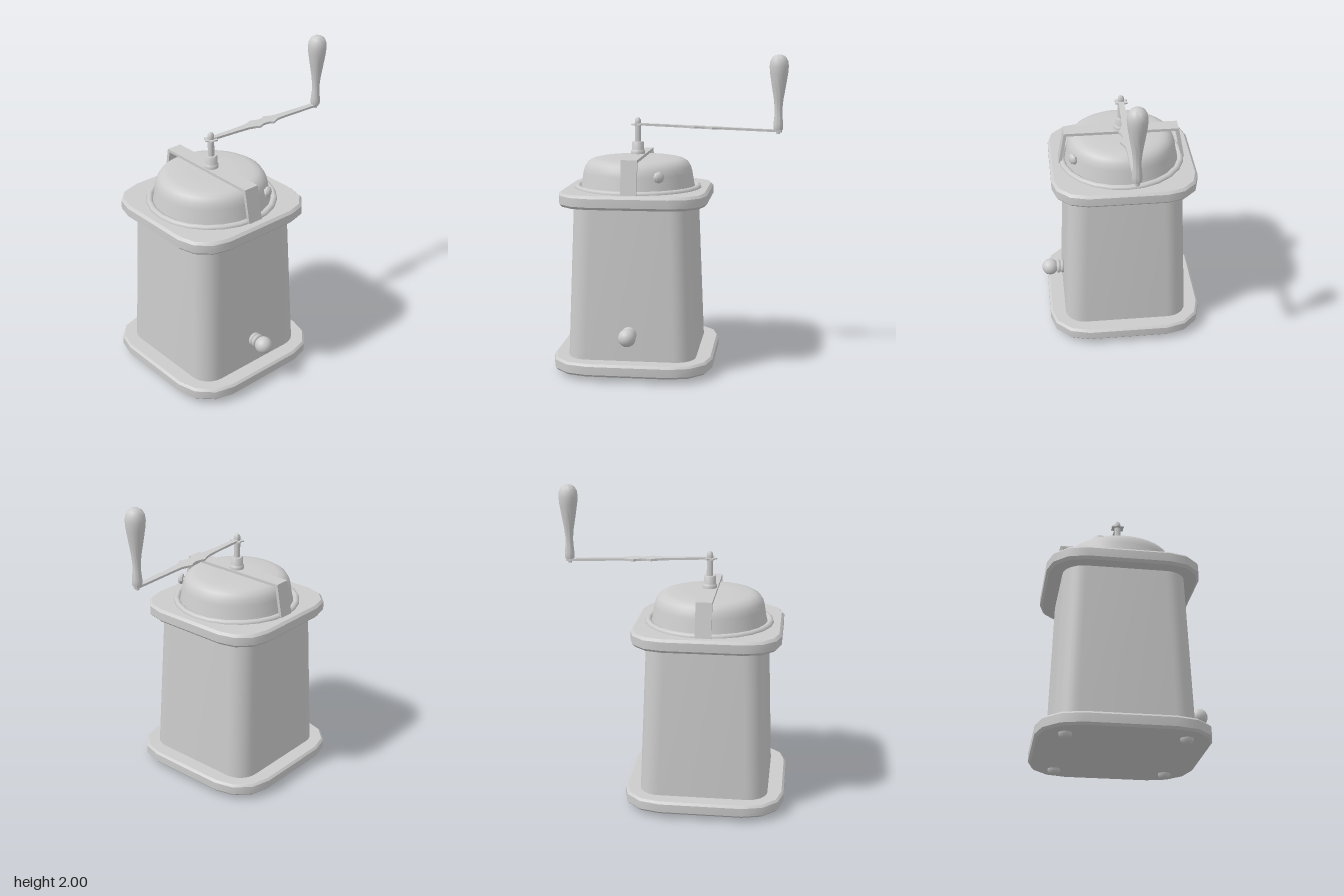
import * as THREE from 'three';
import { toCreasedNormals } from 'three/addons/utils/BufferGeometryUtils.js';

const mat = new THREE.MeshStandardMaterial({ color: 0xcccccc });

function add(parent, name, geo, x = 0, y = 0, z = 0) {
  const m = new THREE.Mesh(geo, mat);
  m.name = name;
  m.position.set(x, y, z);
  parent.add(m);
  return m;
}

function lathe(points, segments, crease = 0.7) {
  const g = new THREE.LatheGeometry(points.map(p => new THREE.Vector2(p[0], p[1])), segments);
  return toCreasedNormals(g, crease);
}

// Closed loft through rounded squares; each section is [y, half width, corner radius]
function squareLoft(sections, steps) {
  const pos = [], idx = [], n = 4 * (steps + 1);
  for (const [y, h, r] of sections)
    for (let q = 0; q < 4; q++)
      for (let i = 0; i <= steps; i++) {
        const a = (q + i / steps) * Math.PI / 2;
        const mid = (q + 0.5) * Math.PI / 2;
        pos.push(Math.sign(Math.cos(mid)) * (h - r) + r * Math.cos(a), y,
          Math.sign(Math.sin(mid)) * (h - r) + r * Math.sin(a));
      }
  const last = sections.length - 1, bottom = n * sections.length;
  pos.push(0, sections[0][0], 0, 0, sections[last][0], 0);
  for (let j = 0; j < n; j++) {
    const k = (j + 1) % n;
    for (let s = 0; s < last; s++) {
      const a = s * n + j, b = s * n + k;
      idx.push(a, a + n, b, b, a + n, b + n);
    }
    idx.push(bottom, j, k, bottom + 1, last * n + k, last * n + j);
  }
  const g = new THREE.BufferGeometry();
  g.setAttribute('position', new THREE.Float32BufferAttribute(pos, 3));
  g.setIndex(idx);
  return toCreasedNormals(g, 0.6);
}

const plate = (y0, y1, h, r, b) => squareLoft(
  [[y0, h - b, r - b], [y0 + b, h, r], [y1 - b, h, r], [y1, h - b, r - b]], 3);

export function createModel() {
  const model = new THREE.Group();
  model.name = 'handMill';
  const mill = new THREE.Group();
  mill.name = 'mill';
  mill.position.set(-0.225, 0, -0.02);
  model.add(mill);

  // Case
  add(mill, 'basePlate', plate(0.03, 0.11, 0.508, 0.25, 0.014));
  add(mill, 'body', squareLoft([[0.1, 0.406, 0.13], [1.08, 0.37, 0.13]], 8));
  add(mill, 'topPlate', plate(1.07, 1.155, 0.467, 0.22, 0.016));
  for (const x of [-1, 1])
    for (const z of [-1, 1])
      add(mill, 'foot', lathe([[0, 0], [0.025, 0.004], [0.037, 0.016], [0.04, 0.032]], 16),
        x * 0.343, 0, z * 0.343);

  // Lid
  add(mill, 'lidRing', new THREE.TorusGeometry(0.388, 0.022, 8, 24).rotateX(Math.PI / 2), 0, 1.154, 0);
  add(mill, 'lidDome', lathe([[0.37, 1.15], [0.362, 1.18], [0.35, 1.255], [0.34, 1.29],
    [0.322, 1.318], [0.295, 1.335], [0.26, 1.343], [0.15, 1.345], [0, 1.345]], 40));

  // Strap bridging the lid from front to back
  const strap = new THREE.Shape([[-0.41, 1.155], [-0.37, 1.368], [0.37, 1.368], [0.41, 1.155],
    [0.39, 1.155], [0.353, 1.35], [-0.353, 1.35], [-0.39, 1.155]].map(p => new THREE.Vector2(...p)));
  const strapGeo = new THREE.ExtrudeGeometry(strap, { depth: 0.1, bevelEnabled: false });
  add(mill, 'strap', strapGeo.translate(0, 0, -0.05).rotateY(-Math.PI / 2));

  // Small knob on the lid
  const lidKnob = add(mill, 'lidKnob', lathe([[0.015, -0.03], [0.015, 0.015], [0.033, 0.018],
    [0.037, 0.03], [0.03, 0.043], [0.016, 0.05], [0, 0.052]], 8), 0.163, 1.258, 0.297);
  lidKnob.rotation.set(Math.PI / 2, 0, 0);
  lidKnob.rotation.order = 'YXZ';
  lidKnob.rotation.y = Math.atan2(0.175, 0.32);

  // Drawer knob: ringed stem and ball
  const knob = new THREE.Group();
  knob.name = 'drawerKnob';
  knob.position.set(0, 0.285, 0.39);
  mill.add(knob);
  add(knob, 'knobStem', new THREE.CylinderGeometry(0.026, 0.026, 0.11, 16).rotateX(Math.PI / 2), 0, 0, 0.04);
  for (const z of [0.02, 0.045])
    add(knob, 'knobRing', new THREE.TorusGeometry(0.033, 0.014, 8, 20), 0, 0, z);
  add(knob, 'knobBall', new THREE.SphereGeometry(0.055, 24, 16), 0, 0, 0.103);

  // Collar, shaft and end pin
  add(mill, 'collar', lathe([[0.046, 1.36], [0.046, 1.385], [0.038, 1.395], [0.038, 1.44],
    [0.034, 1.446], [0, 1.446]], 20));
  add(mill, 'shaft', lathe([[0.02, 1.44], [0.02, 1.57], [0.019, 1.585], [0.011, 1.598], [0, 1.601]], 16));

  // Scalloped nut clamping the crank
  const petals = [];
  for (let i = 0; i < 48; i++) {
    const a = i / 48 * Math.PI * 2, r = 0.039 + 0.006 * Math.cos(6 * a);
    petals.push(new THREE.Vector2(r * Math.cos(a), r * Math.sin(a)));
  }
  const nut = new THREE.ExtrudeGeometry(new THREE.Shape(petals), { depth: 0.008, bevelEnabled: false });
  add(mill, 'scallopedNut', nut.rotateX(-Math.PI / 2), 0, 1.55, 0);

  // Crank arm: half widths along its length, mirrored
  const half = [[-0.02, 0.012], [0, 0.016], [0.2, 0.021], [0.29, 0.026], [0.33, 0.036], [0.365, 0.051],
    [0.4, 0.036], [0.43, 0.032], [0.46, 0.04], [0.48, 0.053], [0.51, 0.037], [0.54, 0.026],
    [0.6, 0.023], [0.88, 0.019], [0.91, 0.016], [0.918, 0.006]];
  const outline = [...half, ...half.map(([x, w]) => [x, -w]).reverse()];
  const arm = new THREE.ExtrudeGeometry(new THREE.Shape(outline.map(p => new THREE.Vector2(...p))),
    { depth: 0.014, bevelEnabled: false });
  arm.translate(0, 0, -0.007).rotateX(Math.PI / 2);
  add(mill, 'crankArm', arm, 0, 1.557, 0).rotation.z = -0.038;

  // Handle with its rivet
  add(mill, 'handle', lathe([[0, 1.53], [0.028, 1.53], [0.031, 1.545], [0.03, 1.57], [0.025, 1.62],
    [0.024, 1.66], [0.03, 1.72], [0.045, 1.81], [0.056, 1.88], [0.06, 1.925], [0.056, 1.958],
    [0.043, 1.983], [0.024, 1.996], [0, 2]], 28), 0.893, 0, 0);
  add(mill, 'handleRivet', new THREE.CylinderGeometry(0.013, 0.013, 0.04, 12), 0.893, 1.523, 0);

  return model;
}
